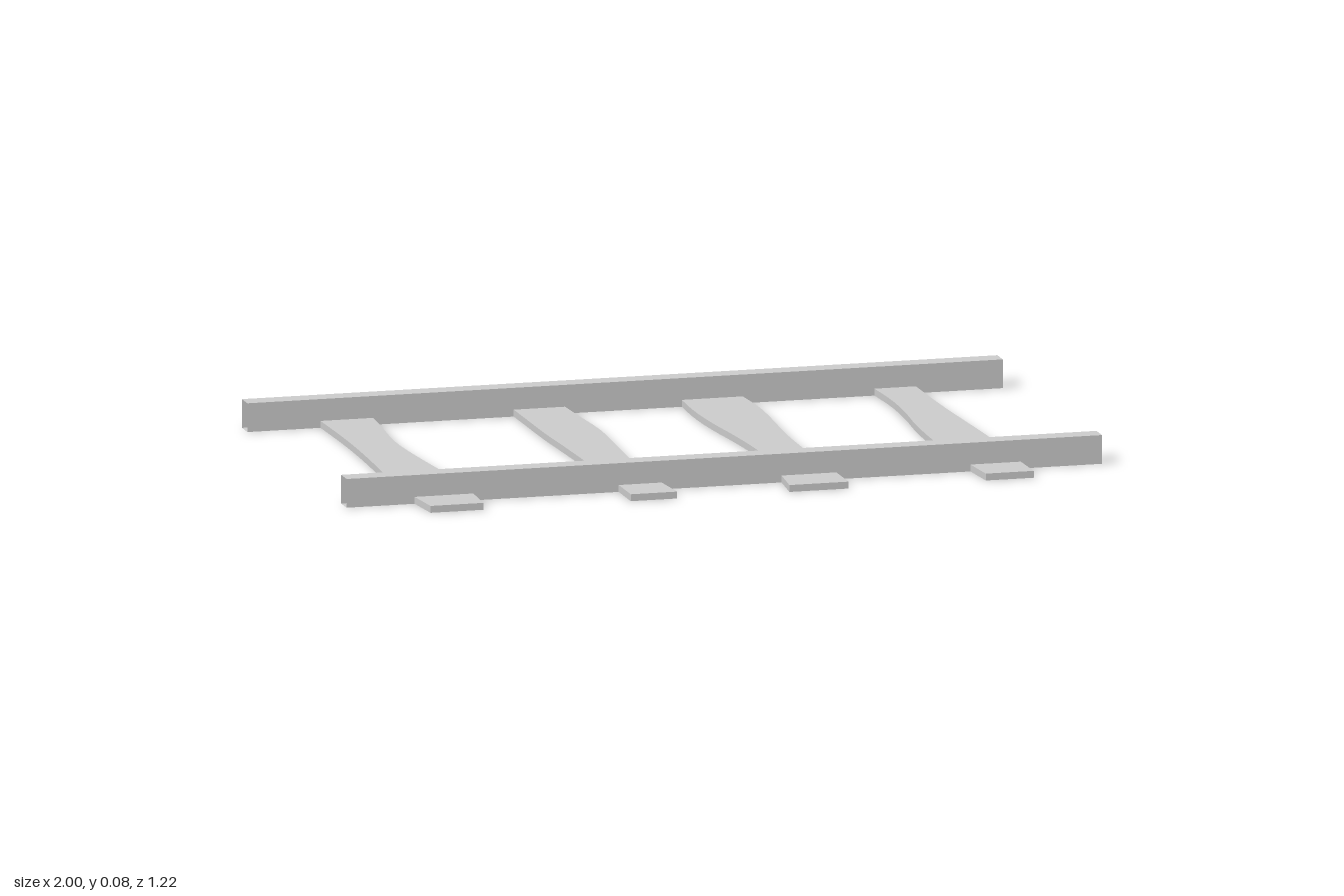
import * as THREE from 'three';

const material = new THREE.MeshStandardMaterial({ color: 0xcccccc, side: THREE.DoubleSide });

// Stations along z, and the wavy left and right edges of each plank there
const stations = [-0.61, -0.35, -0.17, 0, 0.2, 0.35, 0.61];
const planks = [
  { left: [-0.81, -0.805, -0.805, -0.81, -0.82, -0.83, -0.81],
    right: [-0.655, -0.675, -0.69, -0.685, -0.67, -0.66, -0.67] },
  { left: [-0.295, -0.295, -0.295, -0.29, -0.285, -0.28, -0.28],
    right: [-0.165, -0.155, -0.147, -0.155, -0.168, -0.175, -0.157] },
  { left: [0.16, 0.145, 0.15, 0.165, 0.175, 0.165, 0.14],
    right: [0.3, 0.317, 0.31, 0.297, 0.293, 0.295, 0.297] },
  { left: [0.65, 0.665, 0.66, 0.645, 0.638, 0.642, 0.66],
    right: [0.77, 0.77, 0.773, 0.78, 0.787, 0.783, 0.787] },
];

// Smooth edge line through the stations
function edge(xs) {
  const points = xs.map((x, i) => new THREE.Vector2(x, -stations[i]));
  return new THREE.SplineCurve(points).getPoints(18);
}

// Flat plank with wavy long edges, lying on the ground
function makeSleeper({ left, right }) {
  const shape = new THREE.Shape([...edge(left), ...edge(right).reverse()]);
  const geometry = new THREE.ExtrudeGeometry(shape, { depth: 0.018, bevelEnabled: false });
  geometry.rotateX(-Math.PI / 2);
  return new THREE.Mesh(geometry, material);
}

// Square tube with open ends: the first 12 box indices are the two x caps
function makeRail(z) {
  const geometry = new THREE.BoxGeometry(2, 0.075, 0.053);
  geometry.setIndex([...geometry.index.array.slice(12)]);
  geometry.clearGroups();
  const rail = new THREE.Mesh(geometry, material);
  rail.position.set(0, 0.0375, z);
  return rail;
}

export function createModel() {
  const model = new THREE.Group();
  model.name = 'railTrack';

  planks.forEach((plank, i) => {
    const sleeper = makeSleeper(plank);
    sleeper.name = `sleeper${i + 1}`;
    model.add(sleeper);
  });

  const frontRail = makeRail(0.467);
  frontRail.name = 'frontRail';
  const backRail = makeRail(-0.484);
  backRail.name = 'backRail';
  model.add(frontRail, backRail);

  return model;
}
